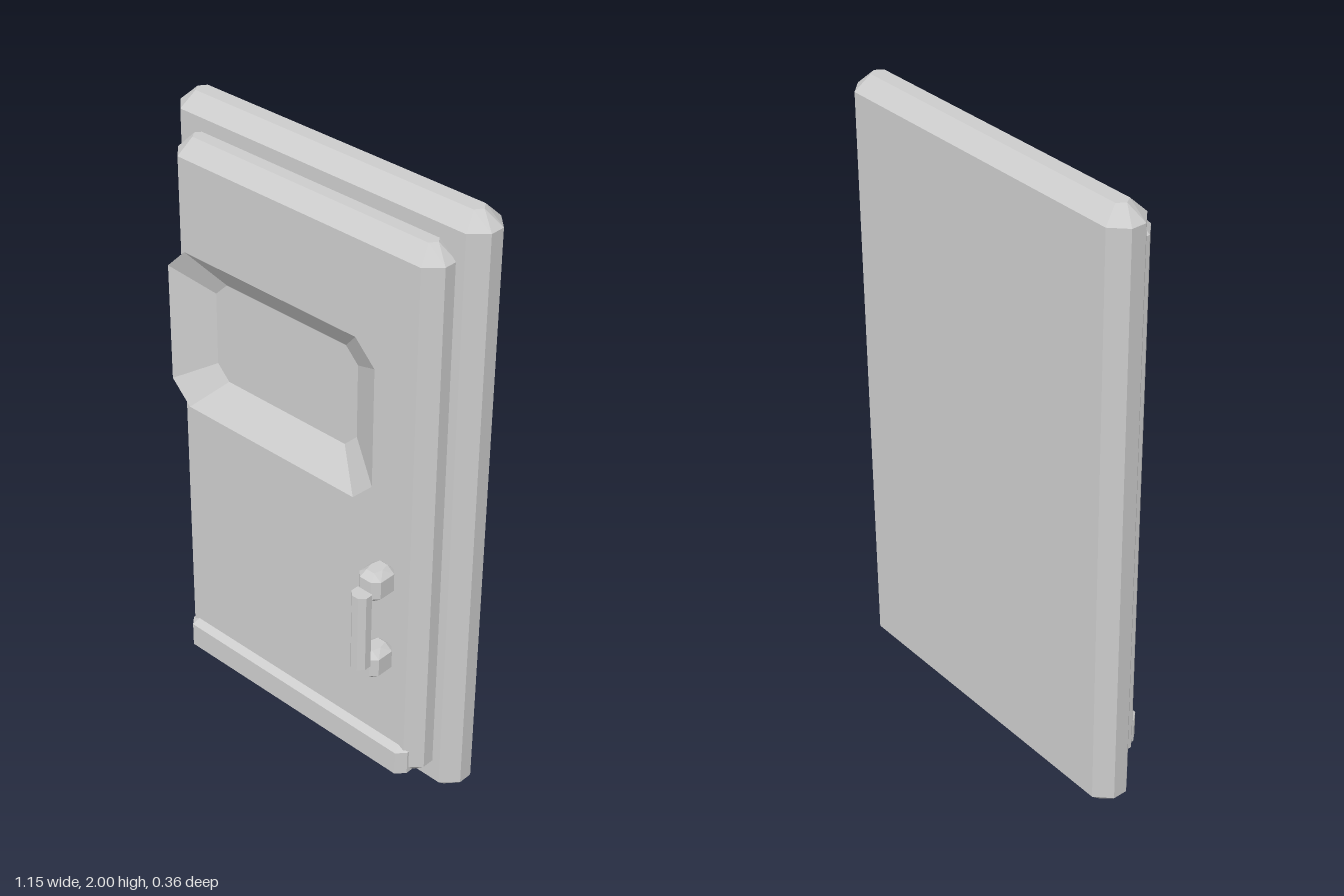
import * as THREE from 'three';
import { ConvexGeometry } from 'three/addons/geometries/ConvexGeometry.js';

const grey = new THREE.MeshStandardMaterial({ color: 0xcccccc });
grey.name = 'paintedGrey';

// Box between two corners with chamfered edges; end faces come to a shallow point
function chamferBox(name, min, max, [cx, cy, cz]) {
  const mid = min.map((v, i) => (v + max[i]) / 2);
  const [hx, hy, hz] = min.map((v, i) => (max[i] - v) / 2);
  const points = [];
  for (const x of [-1, 1]) for (const y of [-1, 1]) {
    points.push(new THREE.Vector3(x * (hx - cx), y * hy, 0));
    for (const z of [-1, 1]) points.push(
      new THREE.Vector3(x * (hx - cx), y * (hy - cy), z * hz),
      new THREE.Vector3(x * hx, y * (hy - cy), z * (hz - cz)),
      new THREE.Vector3(x * (hx - cx * 1.35), y * hy, z * (hz - cz)));
  }
  const mesh = new THREE.Mesh(new ConvexGeometry(points), grey);
  mesh.name = name;
  mesh.position.set(...mid);
  return mesh;
}

// Counter-clockwise rectangle with cut corners
function cutRect(w, h, cx, cy, z) {
  return [[-w + cx, -h], [w - cx, -h], [w, -h + cy], [w, h - cy],
    [w - cx, h], [-w + cx, h], [-w, h - cy], [-w, -h + cy]].map(([x, y]) => [x, y, z]);
}

// Open dish: sloping walls between a front rim and a smaller floor
function dishGeometry(rim, floor) {
  const positions = [];
  const n = rim.length;
  for (let i = 0; i < n; i++) {
    const j = (i + 1) % n;
    positions.push(...rim[i], ...rim[j], ...floor[j], ...rim[i], ...floor[j], ...floor[i]);
    if (i > 0 && i < n - 1) positions.push(...floor[0], ...floor[i], ...floor[i + 1]);
  }
  const geometry = new THREE.BufferGeometry();
  geometry.setAttribute('position', new THREE.Float32BufferAttribute(positions, 3));
  geometry.computeVertexNormals();
  return geometry;
}

export function createModel() {
  const model = new THREE.Group();
  model.name = 'door';

  // Frame slab, raised panel and kick plate
  model.add(
    chamferBox('frame', [-0.576, 0, -0.18], [0.576, 2, -0.04], [0.047, 0.047, 0.046]),
    chamferBox('panel', [-0.5, 0.07, -0.09], [0.5, 1.91, 0.045], [0.045, 0.05, 0.045]),
    chamferBox('kickPlate', [-0.467, 0.08, -0.01], [0.467, 0.203, 0.068], [0.025, 0.02, 0.028]));

  // Recessed window, seen only from the front
  const recess = new THREE.Mesh(dishGeometry(
    cutRect(0.397, 0.26, 0.07, 0.07, 0.15),
    cutRect(0.275, 0.162, 0.045, 0.045, 0.08)), grey);
  recess.name = 'windowRecess';
  recess.position.y = 1.385;
  model.add(recess);

  // Handle: two brackets and an eight-sided grip
  const handle = new THREE.Group();
  handle.name = 'handle';
  for (const y of [0.532, 0.818]) {
    handle.add(chamferBox('handleBracket', [0.327, y - 0.05, 0.04], [0.41, y + 0.05, 0.136], [0.02, 0.02, 0.02]));
  }
  const bar = new THREE.CylinderGeometry(0.031, 0.031, 0.265, 8).rotateY(Math.PI / 8).toNonIndexed();
  bar.computeVertexNormals();
  const grip = new THREE.Mesh(bar, grey);
  grip.name = 'handleGrip';
  grip.position.set(0.368, 0.677, 0.15);
  handle.add(grip);
  model.add(handle);

  return model;
}
